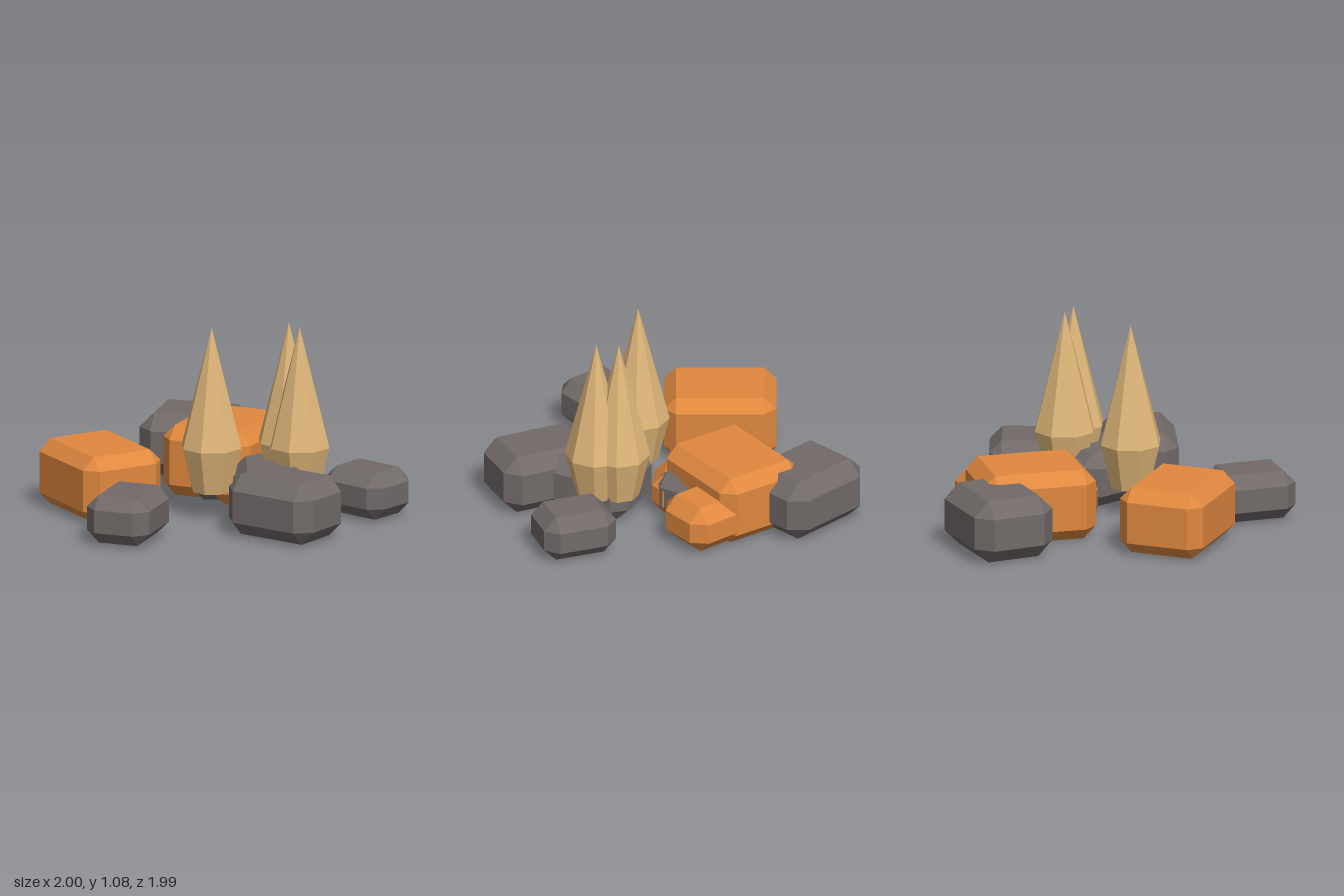
import * as THREE from 'three';
import { ConvexGeometry } from 'three/addons/geometries/ConvexGeometry.js';

const flat = (color) => new THREE.MeshStandardMaterial({ color, flatShading: true });

// Box with every edge cut by one flat chamfer, resting between y0 and y1
function chamferedBox(w, h, d, c) {
  const points = [];
  const half = [w / 2, h / 2, d / 2];
  for (const sx of [-1, 1]) for (const sy of [-1, 1]) for (const sz of [-1, 1]) {
    const sign = [sx, sy, sz];
    // Each corner becomes three points, one on each neighbouring face
    for (let face = 0; face < 3; face++) {
      const p = half.map((v, i) => sign[i] * (i === face ? v : v - c));
      points.push(new THREE.Vector3(...p));
    }
  }
  return new ConvexGeometry(points);
}

function rock(name, material, { x, z, w, d, y0, y1, c, turn }) {
  const mesh = new THREE.Mesh(chamferedBox(w, y1 - y0, d, c), material);
  mesh.name = name;
  mesh.position.set(x, (y0 + y1) / 2, z);
  mesh.rotation.y = turn;
  return mesh;
}

export function createModel() {
  const group = new THREE.Group();
  group.name = 'rocksAndSpikes';
  const grey = flat(0x716a69);
  const orange = flat(0xe0883f);
  const tan = flat(0xdfb679);

  // Grey stones
  const greyRocks = {
    frontStone: { x: -0.29, z: 0.765, w: 0.365, d: 0.455, y0: 0.015, y1: 0.285, c: 0.07, turn: -0.02 },
    largeFrontStone: { x: 0.495, z: 0.395, w: 0.57, d: 0.42, y0: 0.01, y1: 0.35, c: 0.08, turn: -0.28 },
    sideStone: { x: 0.765, z: -0.195, w: 0.42, d: 0.345, y0: 0.015, y1: 0.275, c: 0.07, turn: -0.36 },
    backStone: { x: -0.43, z: -0.75, w: 0.57, d: 0.47, y0: 0.01, y1: 0.36, c: 0.085, turn: 0.08 },
    middleStone: { x: 0.32, z: 0.13, w: 0.42, d: 0.54, y0: 0.015, y1: 0.325, c: 0.075, turn: 0.37 },
    buriedStone: { x: -0.06, z: -0.29, w: 0.43, d: 0.36, y0: 0.015, y1: 0.27, c: 0.07, turn: 0.25 },
  };
  for (const [name, spec] of Object.entries(greyRocks)) group.add(rock(name, grey, spec));

  // Orange boulders
  const orangeRocks = {
    sideBoulder: { x: -0.65, z: 0.215, w: 0.62, d: 0.49, y0: 0.01, y1: 0.38, c: 0.068, turn: -0.71 },
    largeBoulder: { x: -0.155, z: -0.465, w: 0.53, d: 0.64, y0: 0.005, y1: 0.4, c: 0.07, turn: -0.09 },
    smallBoulder: { x: 0.125, z: -0.58, w: 0.42, d: 0.36, y0: 0.015, y1: 0.28, c: 0.075, turn: -0.03 },
    buriedBoulder: { x: -0.01, z: -0.22, w: 0.32, d: 0.33, y0: 0.012, y1: 0.25, c: 0.07, turn: 0.75 },
  };
  for (const [name, spec] of Object.entries(orangeRocks)) group.add(rock(name, orange, spec));

  // Eight-sided spikes, narrow at the foot and pointed at the top
  const profile = [[0, 0.16], [0.112, 0.16], [0.174, 0.41], [0, 1.085]]
    .map(([r, y]) => new THREE.Vector2(r, y));
  const spikeGeometry = new THREE.LatheGeometry(profile, 8);
  [[-0.015, 0.168], [0.345, -0.088], [0.437, -0.005]].forEach(([x, z], i) => {
    const spike = new THREE.Mesh(spikeGeometry, tan);
    spike.name = `spike${i + 1}`;
    spike.position.set(x, 0, z);
    group.add(spike);
  });

  return group;
}
